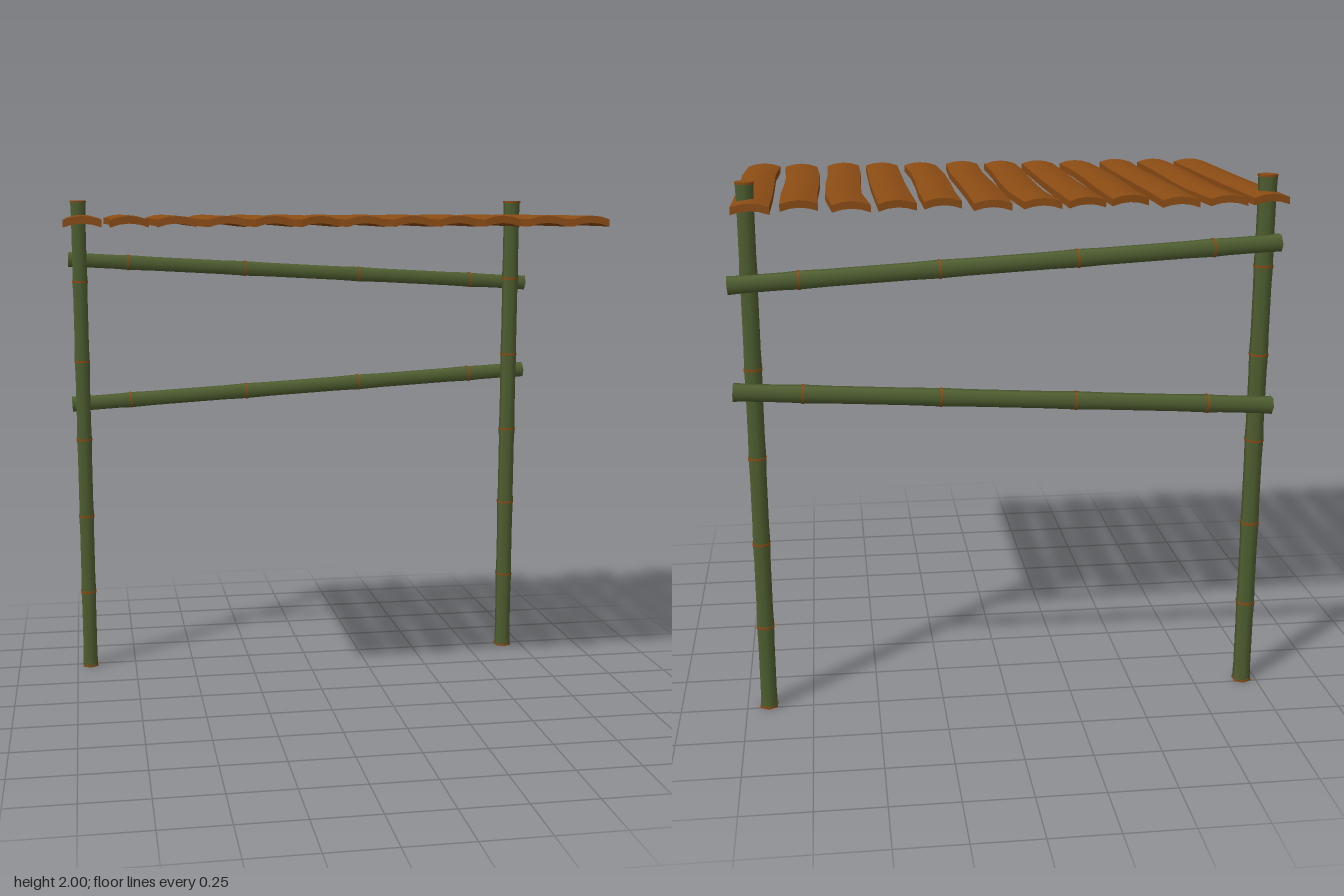
import * as THREE from 'three';

const green = new THREE.MeshStandardMaterial({ color: 0x4f5e30 });
const brown = new THREE.MeshStandardMaterial({ color: 0x8b4c14 });
const SIDES = 6;

// Bamboo cane along y, centred on the origin: slightly waisted between its nodes
function bamboo(name, length, radius, waist, nodes) {
  const cane = new THREE.Group();
  cane.name = name;
  const half = length / 2;
  const stops = [...new Set([-half, ...nodes, half])];
  const profile = [new THREE.Vector2(0, -half), new THREE.Vector2(radius, -half)];
  for (let i = 0; i < stops.length; i++) {
    profile.push(new THREE.Vector2(radius, stops[i]));
    if (i === stops.length - 1) break;
    const gap = stops[i + 1] - stops[i];
    for (const t of [0.2, 0.8]) profile.push(new THREE.Vector2(waist, stops[i] + gap * t));
  }
  profile.splice(1, 1);
  const body = new THREE.Mesh(new THREE.LatheGeometry(profile.slice(1), SIDES), green);
  body.name = 'caneBody';
  cane.add(body);

  // Flat cut ends
  for (const s of [-1, 1]) {
    const end = new THREE.Mesh(new THREE.CylinderGeometry(radius, radius, 0.004, SIDES), green);
    end.position.y = s * (half - 0.002);
    end.name = 'cutEnd';
    cane.add(end);
  }
  // Thin rings at the nodes
  for (const y of nodes) {
    const ring = new THREE.Mesh(new THREE.CylinderGeometry(radius + 0.002, radius + 0.002, 0.008, SIDES), brown);
    ring.position.y = THREE.MathUtils.clamp(y, -half + 0.003, half - 0.003);
    ring.name = 'nodeRing';
    cane.add(ring);
  }
  return cane;
}

// Plank types: end corners in z and sideways bend at five stations, back to front
const PLANKS = [
  { back: [-0.577, -0.59], front: [0.585, 0.59], bend: [-0.003, 0.001, 0.004, 0.002, 0] },
  { back: [-0.6, -0.593], front: [0.6, 0.593], bend: [-0.01, 0.011, 0.007, -0.004, -0.005] },
  { back: [-0.62, -0.612], front: [0.602, 0.61], bend: [0.002, -0.001, 0, 0.003, -0.009] },
  { back: [-0.545, -0.553], front: [0.57, 0.583], bend: [0.003, 0.004, -0.004, -0.006, 0.004] },
];

// Arched, slightly warped board made by bending a box
function plank({ back, front, bend }) {
  const geo = new THREE.BoxGeometry(1, 1, 1, 4, 1, 4);
  const p = geo.attributes.position;
  for (let i = 0; i < p.count; i++) {
    const u = p.getX(i), v = p.getY(i), w = p.getZ(i) + 0.5;
    const zBack = THREE.MathUtils.lerp(back[0], back[1], u + 0.5);
    const zFront = THREE.MathUtils.lerp(front[0], front[1], u + 0.5);
    const arch = 0.013 * (1 - 4 * u * u);
    p.setXYZ(i, u * 0.132 + bend[Math.round(w * 4)], 1.917 + v * 0.026 + arch,
      THREE.MathUtils.lerp(zBack, zFront, w));
  }
  geo.computeVertexNormals();
  return new THREE.Mesh(geo, brown);
}

export function createModel() {
  const model = new THREE.Group();
  model.name = 'bambooShelter';

  // Upright posts
  const postNodes = [-3, -2, -1, 0, 1, 2, 3].map((n) => n / 3);
  for (const [name, x] of [['rightPost', -0.945], ['leftPost', 0.918]]) {
    const post = bamboo(name, 2, 0.036, 0.034, postNodes);
    post.position.set(x, 1, -0.48);
    model.add(post);
  }

  // Sloping rails behind the posts
  for (const [name, y0, y1] of [['upperRail', 1.758, 1.646], ['lowerRail', 1.146, 1.26]]) {
    const rail = bamboo(name, 1.986, 0.035, 0.033, [-0.745, -0.248, 0.248, 0.745]);
    rail.position.set(0, (y0 + y1) / 2, -0.52);
    rail.rotation.z = Math.atan((y1 - y0) / 1.98) - Math.PI / 2;
    model.add(rail);
  }

  // Roof planks
  const roof = new THREE.Group();
  roof.name = 'roof';
  [0, 1, 2, 3, 0, 1, 2, 3, 0, 1, 3, 2].forEach((type, i) => {
    const board = plank(PLANKS[type]);
    board.name = 'roofPlank' + (i + 1);
    board.position.x = -0.93 + 0.166 * i;
    roof.add(board);
  });
  model.add(roof);

  return model;
}
